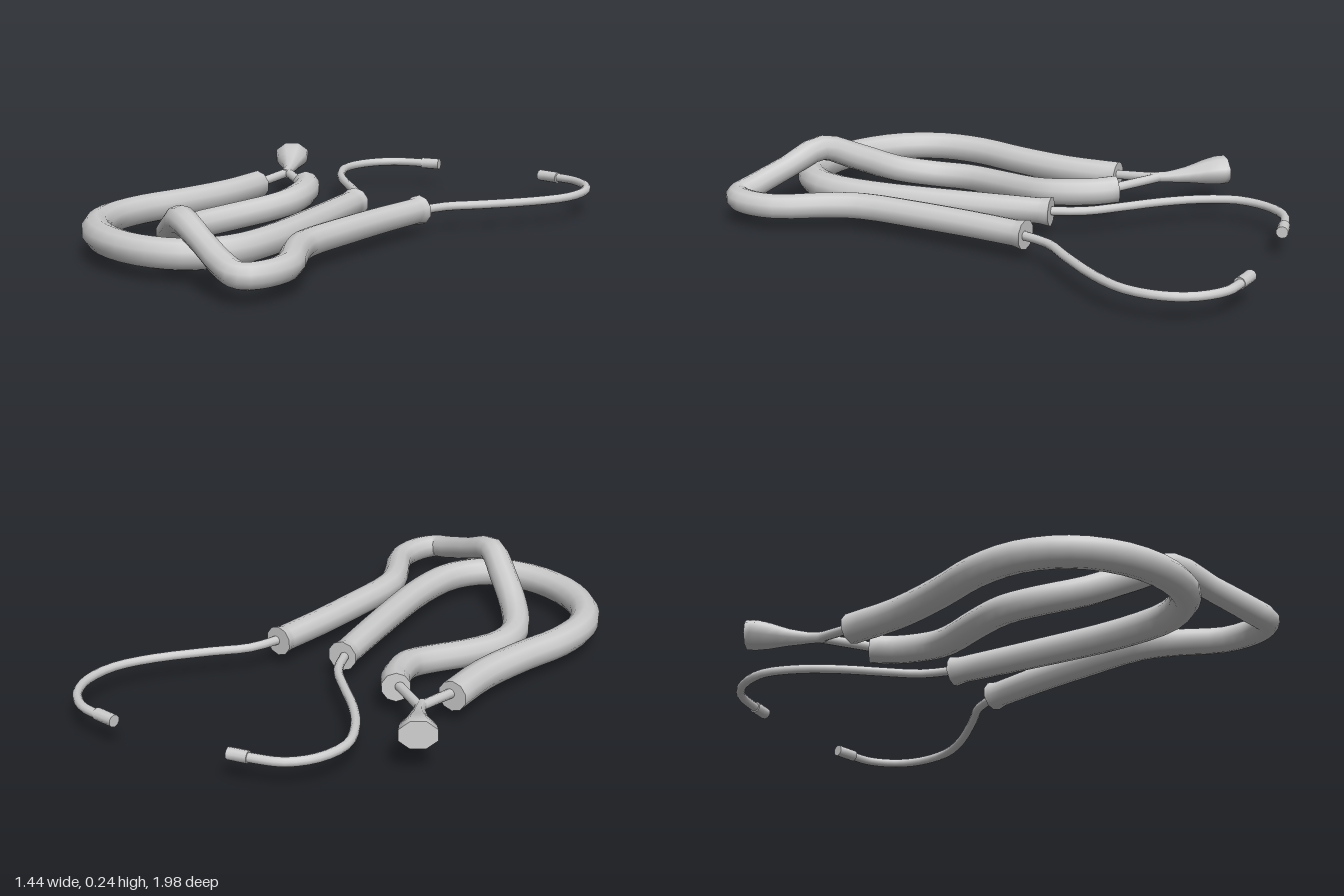
import * as THREE from 'three';

const material = new THREE.MeshStandardMaterial({ color: 0xcccccc, roughness: 0.6 });

// Sweeps a round section along stations [x, y, z, radius, vertical radius?], with flat end caps.
function sweep(name, stations, sides = 10, perSpan = 3) {
  const curve = new THREE.CatmullRomCurve3(stations.map(s => new THREE.Vector3(s[0], s[1], s[2])), false, 'centripetal');
  const spans = stations.length - 1;
  const steps = spans * perSpan;
  const positions = [], index = [], rings = [];
  const up = new THREE.Vector3(0, 1, 0);
  for (let i = 0; i <= steps; i++) {
    const t = i / steps;
    const k = Math.min(Math.floor(t * spans), spans - 1);
    const f = t * spans - k;
    const a = stations[k], b = stations[k + 1];
    const rx = THREE.MathUtils.lerp(a[3], b[3], f);
    const ry = THREE.MathUtils.lerp(a[4] ?? a[3], b[4] ?? b[3], f);
    const centre = curve.getPoint(t);
    const tangent = curve.getTangent(t);
    const side = new THREE.Vector3().crossVectors(up, tangent).normalize();
    const top = new THREE.Vector3().crossVectors(tangent, side);
    const ring = [];
    for (let j = 0; j < sides; j++) {
      const angle = ((j + 0.5) / sides) * Math.PI * 2;
      ring.push(centre.clone().addScaledVector(side, Math.cos(angle) * rx).addScaledVector(top, Math.sin(angle) * ry));
    }
    rings.push({ centre, ring });
    ring.forEach(p => positions.push(p.x, p.y, p.z));
  }
  for (let i = 0; i < steps; i++) {
    for (let j = 0; j < sides; j++) {
      const a = i * sides + j, b = i * sides + (j + 1) % sides;
      index.push(a, b, a + sides, b, b + sides, a + sides);
    }
  }
  // caps use their own vertices so the rims stay sharp
  [rings[0], rings[steps]].forEach(({ centre, ring }, end) => {
    const c = positions.length / 3;
    [centre, ...ring].forEach(p => positions.push(p.x, p.y, p.z));
    for (let j = 0; j < sides; j++) {
      const a = c + 1 + j, b = c + 1 + (j + 1) % sides;
      if (end) index.push(c, a, b);
      else index.push(c, b, a);
    }
  });
  const geometry = new THREE.BufferGeometry();
  geometry.setAttribute('position', new THREE.Float32BufferAttribute(positions, 3));
  geometry.setIndex(index);
  geometry.computeVertexNormals();
  const mesh = new THREE.Mesh(geometry, material);
  mesh.name = name;
  return mesh;
}

// Flat path [x, z] at a constant height and radius
const level = (points, y, r) => points.map(([x, z]) => [x, y, z, r]);

export function createModel() {
  const group = new THREE.Group();
  group.name = 'stethoscope';
  const y = 0.095;

  // Outer hose: lies flat, from the chest piece round to the first ear tube
  group.add(sweep('outerHose', [
    [-0.455, y, -0.33, 0.053], [-0.49, y, -0.13, 0.053], [-0.565, y, 0.07, 0.053],
    [-0.64, y, 0.23, 0.053], [-0.67, y, 0.39, 0.053], [-0.63, y, 0.55, 0.053],
    [-0.51, y, 0.69, 0.053], [-0.34, y, 0.77, 0.053], [-0.19, y, 0.765, 0.053],
    [-0.08, y, 0.67, 0.053], [-0.025, y, 0.48, 0.052], [-0.005, y, 0.18, 0.05],
    [0.003, y, -0.14, 0.047], [0.004, y, -0.18, 0.053],
  ]));

  // Inner hose: sags low, climbs over the outer hose, then doubles back
  group.add(sweep('innerHose', [
    [-0.27, 0.105, -0.36, 0.05], [-0.235, 0.1, -0.28, 0.05], [-0.225, 0.092, -0.15, 0.05],
    [-0.26, 0.08, -0.06, 0.05], [-0.36, 0.063, 0.09, 0.05], [-0.43, 0.055, 0.23, 0.05],
    [-0.435, 0.057, 0.36, 0.05], [-0.38, 0.085, 0.5, 0.05], [-0.29, 0.15, 0.63, 0.05],
    [-0.21, 0.198, 0.73, 0.047], [-0.09, 0.155, 0.82, 0.042], [0.03, 0.11, 0.91, 0.044],
    [0.1, y, 0.942, 0.044], [0.15, 0.093, 0.89, 0.045], [0.175, 0.093, 0.77, 0.045],
    [0.125, y, 0.6, 0.047], [0.105, y, 0.48, 0.048], [0.15, y, 0.25, 0.048],
    [0.2, y, 0.05, 0.047], [0.25, y, -0.115, 0.046], [0.26, y, -0.15, 0.053],
  ]));

  // Thin ear tubes with a thicker tip
  const earPaths = [
    [[0.003, -0.14], [-0.03, -0.29], [-0.1, -0.4], [-0.19, -0.53], [-0.255, -0.66], [-0.28, -0.79],
      [-0.235, -0.9], [-0.155, -0.965], [-0.06, -0.98], [0.03, -0.98]],
    [[0.25, -0.11], [0.325, -0.24], [0.43, -0.32], [0.585, -0.45], [0.675, -0.565], [0.703, -0.69],
      [0.68, -0.79], [0.615, -0.87], [0.55, -0.9], [0.465, -0.925]],
  ];
  const tips = [[[-0.04, -0.98], [0.03, -0.98]], [[0.54, -0.9], [0.462, -0.926]]];
  earPaths.forEach((path, i) => {
    group.add(sweep('earTube' + (i + 1), level(path, y, 0.016)));
    group.add(sweep('earTip' + (i + 1), level(tips[i], y, 0.021)));
  });

  // Forked connector between the hoses and the chest piece
  group.add(sweep('forkOuter', [[-0.455, 0.1, -0.3, 0.017], [-0.405, 0.117, -0.48, 0.017]]));
  group.add(sweep('forkInner', [[-0.25, 0.105, -0.32, 0.017], [-0.405, 0.117, -0.49, 0.017]]));

  // Flared chest piece with a flat end
  group.add(sweep('chestPiece', [
    [-0.402, 0.116, -0.46, 0.018], [-0.415, 0.119, -0.52, 0.02], [-0.437, 0.125, -0.585, 0.033, 0.029],
    [-0.462, 0.133, -0.65, 0.054, 0.044], [-0.478, 0.138, -0.69, 0.064, 0.05], [-0.492, 0.14, -0.722, 0.067, 0.049],
  ], 8, 2));

  return group;
}
